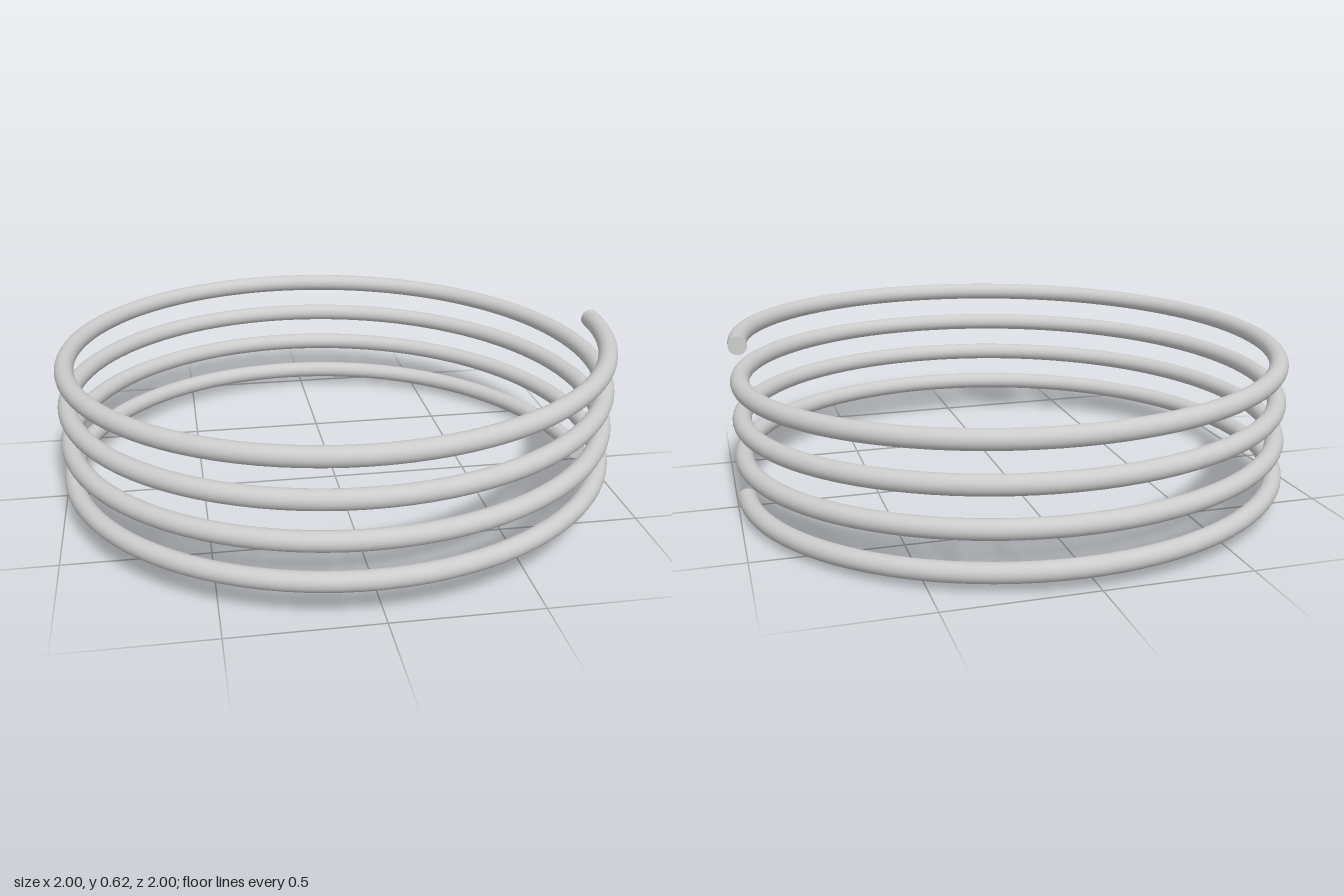
import * as THREE from 'three';

const TURNS = 4, PITCH = 0.138, WIRE = 0.033, RADIUS = 1 - WIRE, START_Y = 0.034;

// Rising helix: starts and ends at +x, first heading to the back
class Helix extends THREE.Curve {
  getPoint(t, target = new THREE.Vector3()) {
    const a = t * TURNS * Math.PI * 2;
    return target.set(RADIUS * Math.cos(a), START_Y + t * TURNS * PITCH, -RADIUS * Math.sin(a));
  }
  // Uniform speed, so arc length needs no lookup table
  getPointAt(t, target) {
    return this.getPoint(t, target);
  }
  getTangent(t, target = new THREE.Vector3()) {
    const a = t * TURNS * Math.PI * 2;
    return target.set(-RADIUS * Math.sin(a), PITCH / (Math.PI * 2), -RADIUS * Math.cos(a)).normalize();
  }
  getTangentAt(t, target) {
    return this.getTangent(t, target);
  }
}

export function createModel() {
  const model = new THREE.Group();
  model.name = 'coilSpring';
  const material = new THREE.MeshStandardMaterial({ color: 0xcccccc });
  const helix = new Helix();

  // Round wire wound into the coil
  const coil = new THREE.Mesh(new THREE.TubeGeometry(helix, 96 * TURNS, WIRE, 24), material);
  coil.name = 'coil';
  model.add(coil);

  // Flat discs closing the cut ends, facing outward along the wire
  for (const [name, t, sign] of [['lowerEnd', 0, -1], ['upperEnd', 1, 1]]) {
    const cap = new THREE.Mesh(new THREE.CircleGeometry(WIRE, 24), material);
    cap.name = name;
    cap.position.copy(helix.getPoint(t));
    cap.lookAt(cap.position.clone().addScaledVector(helix.getTangent(t), sign));
    model.add(cap);
  }
  return model;
}
